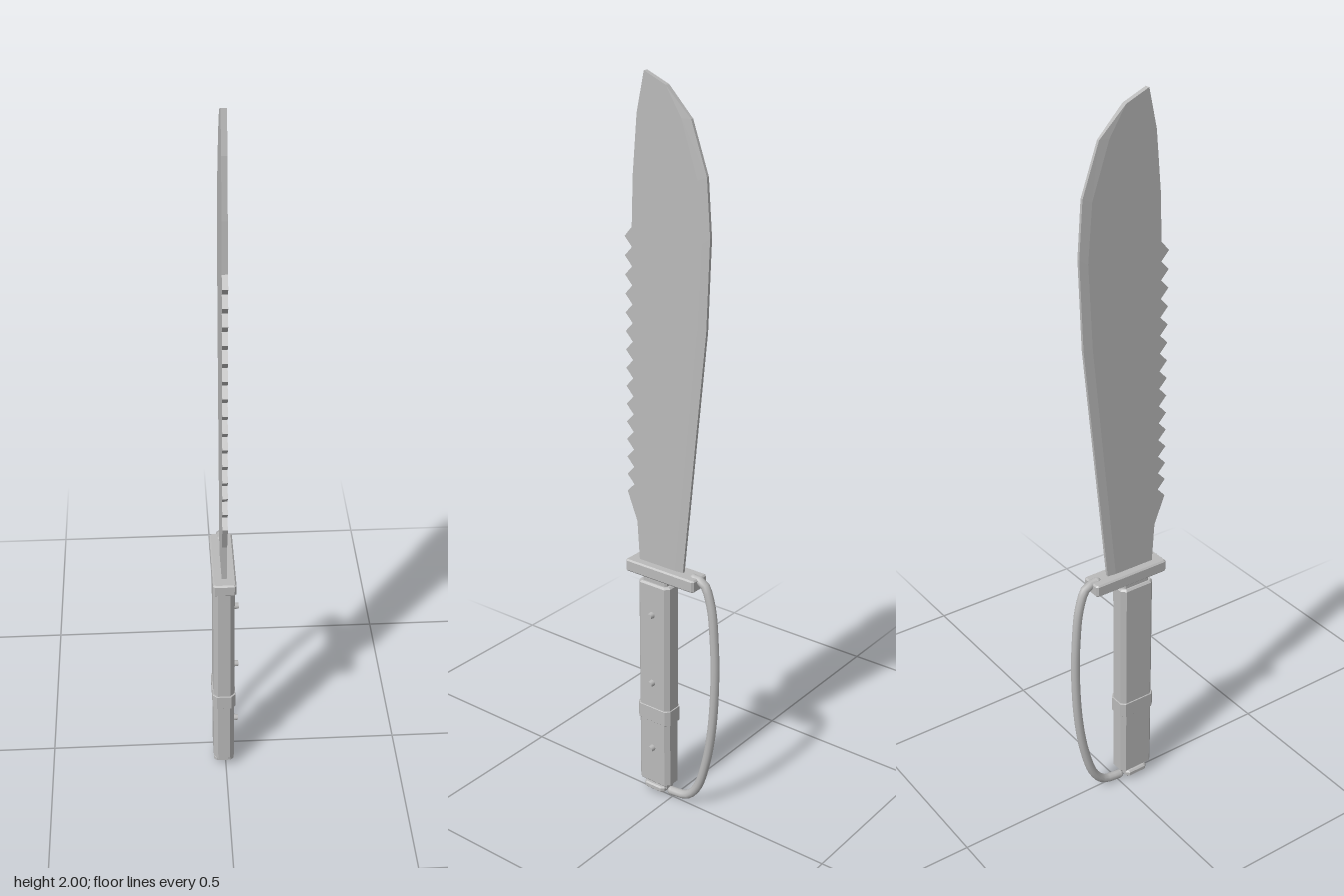
import * as THREE from 'three';

const steel = new THREE.MeshStandardMaterial({ color: 0xbababa });
steel.name = 'grey steel';
const CX = -0.006; // side-to-side middle of the blade and grip

function add(group, name, geometry) {
  const mesh = new THREE.Mesh(geometry, steel);
  mesh.name = name;
  group.add(mesh);
  return mesh;
}

// Upright block with cut corners and bevelled ends, given by its limits
function block(halfX, z0, z1, y0, y1, cut, bevel) {
  const hx = halfX - bevel, a = -z1 + bevel, b = -z0 - bevel;
  const shape = new THREE.Shape([
    [-hx + cut, a], [hx - cut, a], [hx, a + cut], [hx, b - cut],
    [hx - cut, b], [-hx + cut, b], [-hx, b - cut], [-hx, a + cut],
  ].map(([x, y]) => new THREE.Vector2(x, y)));
  const geo = new THREE.ExtrudeGeometry(shape, {
    depth: y1 - y0 - 2 * bevel, bevelEnabled: bevel > 0,
    bevelThickness: bevel, bevelSize: bevel, bevelSegments: 1,
  });
  geo.rotateX(-Math.PI / 2);
  geo.translate(CX, y0 + bevel, 0);
  return geo;
}

// Tapered strip between the flat of the blade and its cutting edge
function edgeStrip(inner, outer) {
  const pos = [];
  const quad = (a, b, c, d) => pos.push(...a, ...b, ...c, ...a, ...c, ...d);
  const section = (i) => {
    const t = i === 0 ? 0.007 : 0.004;
    const [zi, yi] = inner[i], [zo, yo] = outer[i];
    return [[CX + 0.007, yi, zi], [CX + t, yo, zo], [CX - t, yo, zo], [CX - 0.007, yi, zi]];
  };
  for (let i = 0; i < inner.length - 1; i++) {
    const p = section(i), q = section(i + 1);
    for (let k = 0; k < 3; k++) quad(p[k], q[k], q[k + 1], p[k + 1]);
  }
  const geo = new THREE.BufferGeometry();
  geo.setAttribute('position', new THREE.Float32BufferAttribute(pos, 3));
  geo.computeVertexNormals();
  return geo;
}

export function createModel() {
  const group = new THREE.Group();
  group.name = 'sawBackKnife';

  // Blade profile as [z, y], from the tip down the cutting edge
  const outer = [[0.02, 1.972], [-0.053, 1.9], [-0.1, 1.77], [-0.111, 1.625], [-0.102, 1.39], [-0.07, 1.08], [-0.031, 0.7]];
  const inner = [[0.02, 1.972], [-0.026, 1.9], [-0.075, 1.76], [-0.088, 1.61], [-0.077, 1.39], [-0.046, 1.08], [-0.007, 0.7]];

  // Saw-toothed back, from the guard up to the tip
  const back = [[0.11, 0.7], [0.118, 0.825], [0.15, 0.905]];
  const teeth = 14, pitch = 0.0492;
  for (let i = 0; i < teeth; i++) {
    const y = 0.905 + i * pitch;
    back.push([0.127, y + pitch * 0.5], [0.15, y + pitch]);
  }
  back.push([0.127, 1.62], [0.122, 1.75], [0.108, 1.9], [0.085, 2]);

  const flat = new THREE.ExtrudeGeometry(
    new THREE.Shape([...inner, ...back].map(([z, y]) => new THREE.Vector2(-z, y))),
    { depth: 0.014, bevelEnabled: false });
  flat.rotateY(Math.PI / 2);
  flat.translate(CX - 0.007, 0, 0);
  add(group, 'blade', flat);
  const strip = add(group, 'cuttingEdge', edgeStrip(inner, outer));
  strip.geometry.name = 'cuttingEdge';

  // Guard, grip and pommel
  add(group, 'crossGuard', block(0.031, -0.086, 0.143, 0.68, 0.715, 0.003, 0.004));
  add(group, 'gripNeck', block(0.02, 0.012, 0.092, 0.64, 0.69, 0.004, 0));
  add(group, 'grip', block(0.029, 0, 0.105, 0.037, 0.665, 0.009, 0.005));
  add(group, 'gripBand', block(0.032, -0.003, 0.108, 0.24, 0.285, 0.011, 0.001));
  add(group, 'pommelNeck', block(0.018, 0.015, 0.09, 0.022, 0.045, 0.004, 0));
  add(group, 'pommel', block(0.028, 0.018, 0.088, 0.012, 0.03, 0.006, 0.004));

  // Rivets on one face of the grip
  for (const y of [0.153, 0.362, 0.572]) {
    const rivet = new THREE.CylinderGeometry(0.008, 0.01, 0.016, 10);
    rivet.rotateZ(-Math.PI / 2);
    rivet.translate(0.028, y, 0.053);
    add(group, 'rivet', rivet);
  }

  // Knuckle bow from the guard to the pommel
  const path = new THREE.CatmullRomCurve3([
    [-0.066, 0.708], [-0.098, 0.702], [-0.122, 0.645], [-0.135, 0.53], [-0.138, 0.42],
    [-0.13, 0.27], [-0.11, 0.15], [-0.08, 0.06], [-0.045, 0.022], [0.008, 0.013],
  ].map(([z, y]) => new THREE.Vector3(CX, y, z)));
  add(group, 'knuckleBow', new THREE.TubeGeometry(path, 40, 0.0125, 10, false));
  for (const t of [0, 1]) {
    const cap = add(group, 'knuckleBowEnd', new THREE.SphereGeometry(0.0125, 10, 8));
    cap.position.copy(path.getPoint(t));
  }
  return group;
}
